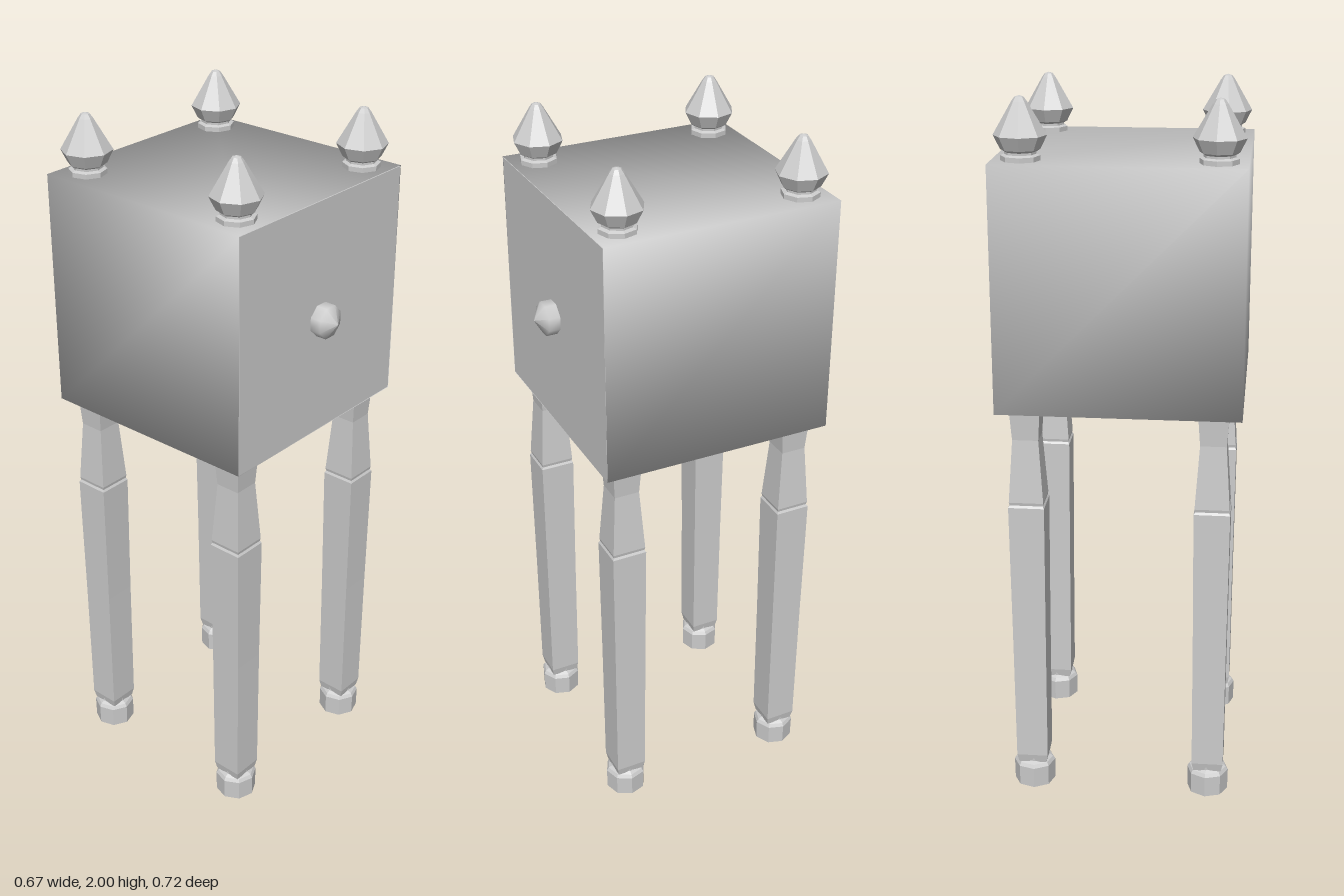
import * as THREE from 'three';
import { mergeVertices } from 'three/addons/utils/BufferGeometryUtils.js';

const flat = new THREE.MeshStandardMaterial({ color: 0xcccccc, flatShading: true });
const smooth = new THREE.MeshStandardMaterial({ color: 0xcccccc, side: THREE.DoubleSide });

// Faceted turning from [radius, y] pairs listed bottom to top
function turned(name, profile, sides, phi = 0) {
  const points = profile.map(([r, y]) => new THREE.Vector2(r, y));
  const mesh = new THREE.Mesh(new THREE.LatheGeometry(points, sides, phi), flat);
  mesh.name = name;
  return mesh;
}

// Axis-aligned square leg from [half width, y] pairs
const squareTurned = (name, profile) =>
  turned(name, profile.map(([h, y]) => [h * Math.SQRT2, y]), 4, Math.PI / 4);

// Cabinet shell with an open front and softly averaged normals
function cabinetShell() {
  let geo = new THREE.BoxGeometry(0.666, 0.67, 0.666);
  const index = Array.from(geo.index.array);
  index.splice(24, 6);
  geo.setIndex(index);
  geo.deleteAttribute('normal');
  geo.deleteAttribute('uv');
  geo = mergeVertices(geo);
  geo.computeVertexNormals();
  const mesh = new THREE.Mesh(geo, smooth);
  mesh.name = 'cabinetShell';
  mesh.position.set(0, 1.5, -0.03);
  return mesh;
}

export function createModel() {
  const model = new THREE.Group();
  model.name = 'cabinetOnLegs';
  model.add(cabinetShell());

  // Flat drawer front closing the shell
  const front = new THREE.Mesh(new THREE.BoxGeometry(0.662, 0.666, 0.02), flat);
  front.name = 'drawerFront';
  front.position.set(0, 1.5, 0.293);
  model.add(front);

  // Pointed knob
  const knobProfile = [[0.047, 0], [0.047, 0.034], [0, 0.06]].map(([r, y]) => new THREE.Vector2(r, y));
  const knob = new THREE.Mesh(new THREE.LatheGeometry(knobProfile, 8, Math.PI / 8), smooth);
  knob.name = 'knob';
  knob.rotation.x = Math.PI / 2;
  knob.position.set(0, 1.5, 0.301);
  model.add(knob);

  // Legs, feet and finials at the four corners
  for (const sx of [-1, 1]) {
    for (const sz of [-1, 1]) {
      const corner = new THREE.Group();
      corner.name = `${sz > 0 ? 'front' : 'back'}${sx > 0 ? 'Left' : 'Right'}Post`;
      corner.position.set(sx * 0.256, 0, sz > 0 ? 0.229 : -0.288);
      const twist = -sx * sz * THREE.MathUtils.degToRad(5);

      corner.add(squareTurned('lowerLeg', [
        [0, 0.075], [0.04, 0.075], [0.045, 0.1], [0.047, 0.5], [0.049, 0.75], [0.05, 0.885], [0.046, 0.892], [0, 0.892],
      ]));
      corner.add(squareTurned('upperLeg', [
        [0, 0.89], [0.046, 0.89], [0.048, 0.9], [0.036, 1.08], [0.042, 1.168], [0, 1.168],
      ]));
      corner.add(turned('foot', [
        [0, 0], [0.059, 0], [0.06, 0.062], [0.054, 0.072], [0.043, 0.078], [0.043, 0.088], [0, 0.088],
      ], 8, twist));
      corner.add(turned('finial', [
        [0.052, 1.833], [0.052, 1.848], [0.042, 1.852], [0.042, 1.858], [0.052, 1.864], [0.07, 1.9],
        [0.02, 1.985], [0.012, 1.996], [0, 2],
      ], 8, twist));
      model.add(corner);
    }
  }
  return model;
}
